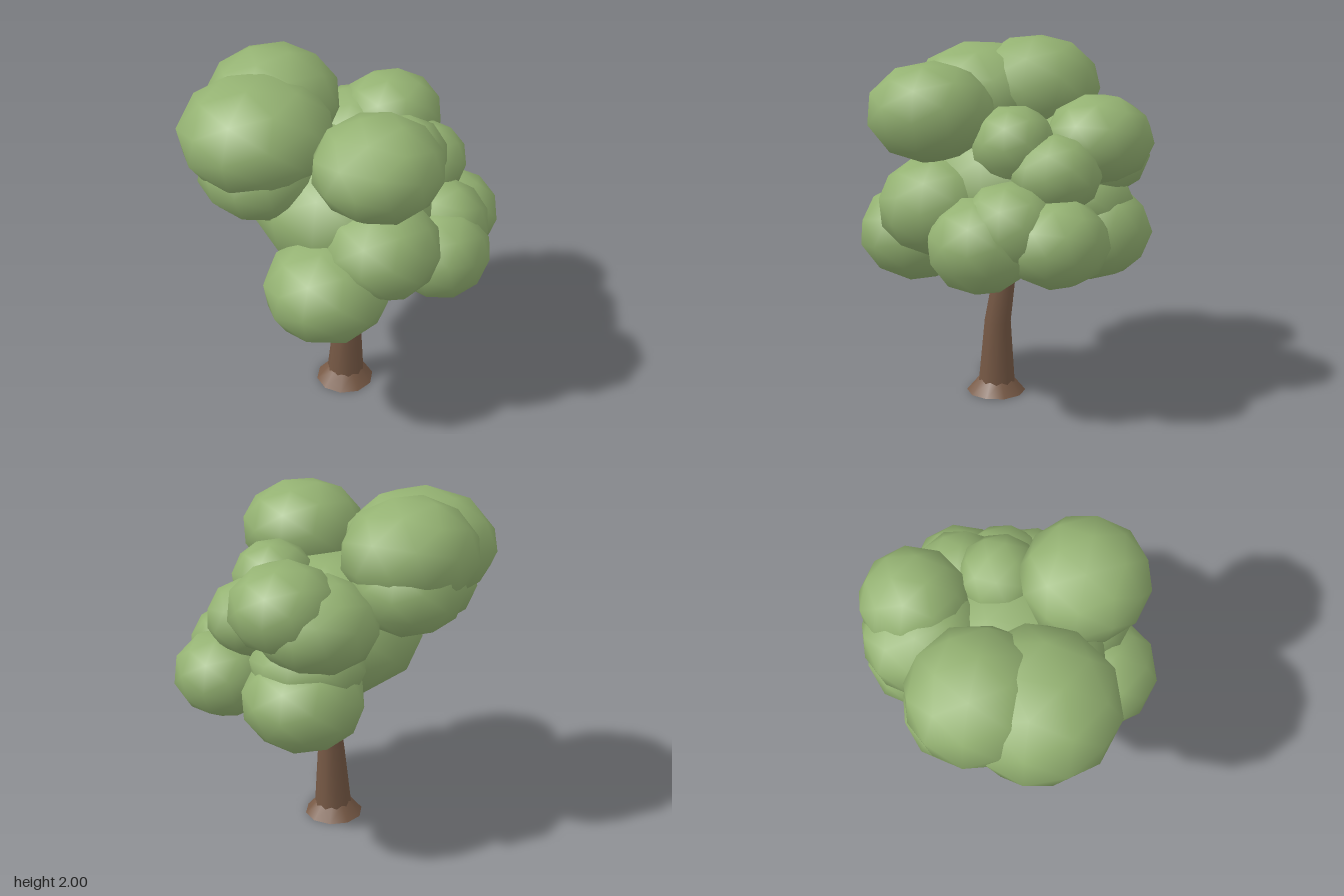
import * as THREE from 'three';

const bark = new THREE.MeshStandardMaterial({ color: 0x785a46 });
bark.name = 'bark brown';
const leaf = new THREE.MeshStandardMaterial({ color: 0x94b272 });
leaf.name = 'leaf green';

// Leaf clumps: centre x, y, z, then horizontal and vertical radius
const clumps = {
  core: [0, 1.22, 0, 0.5, 0.385],
  topFront: [0.09, 1.65, 0.43, 0.34, 0.265],
  topRight: [-0.477, 1.66, -0.03, 0.415, 0.3],
  topBack: [-0.35, 1.71, -0.31, 0.365, 0.29],
  underTopRight: [-0.46, 1.46, -0.01, 0.34, 0.265],
  underTopBack: [-0.33, 1.56, -0.385, 0.3, 0.26],
  upperBack: [0.335, 1.5, -0.435, 0.29, 0.24],
  middleBack: [0.17, 1.4, -0.44, 0.33, 0.25],
  innerBack: [0.2, 1.15, -0.36, 0.31, 0.22],
  lowBack: [0.24, 0.98, -0.44, 0.325, 0.265],
  lowFront: [-0.18, 0.945, 0.435, 0.335, 0.275],
  middleFront: [0.12, 1.15, 0.41, 0.315, 0.265],
  lowFrontLeft: [0.47, 1.0, 0.265, 0.28, 0.255],
  middleFrontLeft: [0.51, 1.09, 0.12, 0.265, 0.24],
  lowLeft: [0.615, 1.02, -0.1, 0.275, 0.235],
  middleLeft: [0.46, 1.35, -0.14, 0.245, 0.21],
  upperLeft: [0.32, 1.49, 0.04, 0.225, 0.21],
};

// Trunk rings from bottom to top: centre x, y, z, radius
const trunkRings = [
  [-0.01, 0.02, 0.035, 0.11],
  [-0.008, 0.08, 0.035, 0.106],
  [0.003, 0.42, 0.033, 0.078],
  [0.043, 0.8, -0.01, 0.062],
  [0.067, 1.0, -0.035, 0.057],
];

// Capped cylinder whose rings follow the listed centres and radii
function bentCylinder(rings, sides) {
  const last = rings.length - 1;
  const geometry = new THREE.CylinderGeometry(1, 1, 1, sides, last);
  const p = geometry.attributes.position;
  for (let i = 0; i < p.count; i++) {
    const [x, y, z, r] = rings[Math.round((p.getY(i) + 0.5) * last)];
    p.setXYZ(i, x + p.getX(i) * r, y, z + p.getZ(i) * r);
  }
  return geometry;
}

export function createModel() {
  const tree = new THREE.Group();
  tree.name = 'tree';

  // Leaning trunk
  const trunk = new THREE.Mesh(bentCylinder(trunkRings, 10), bark);
  trunk.name = 'trunk';
  tree.add(trunk);

  // Flared foot
  const foot = new THREE.Mesh(new THREE.CylinderGeometry(0.1, 0.168, 0.08, 10), bark);
  foot.name = 'trunkFoot';
  foot.position.set(-0.013, 0.04, 0.037);
  foot.rotation.y = Math.PI / 10;
  tree.add(foot);

  // Crown of flattened round clumps, each a tilted ball squashed upright
  const crown = new THREE.Group();
  crown.name = 'crown';
  const ball = new THREE.IcosahedronGeometry(1.03, 1).rotateX(0.3).rotateZ(0.2);
  Object.entries(clumps).forEach(([name, [x, y, z, r, h]], i) => {
    const clump = new THREE.Mesh(ball, leaf);
    clump.name = name + 'Clump';
    clump.position.set(x, y, z);
    clump.scale.set(r, h, r);
    clump.rotation.y = (i % 4) * Math.PI / 2;
    crown.add(clump);
  });
  tree.add(crown);

  return tree;
}
